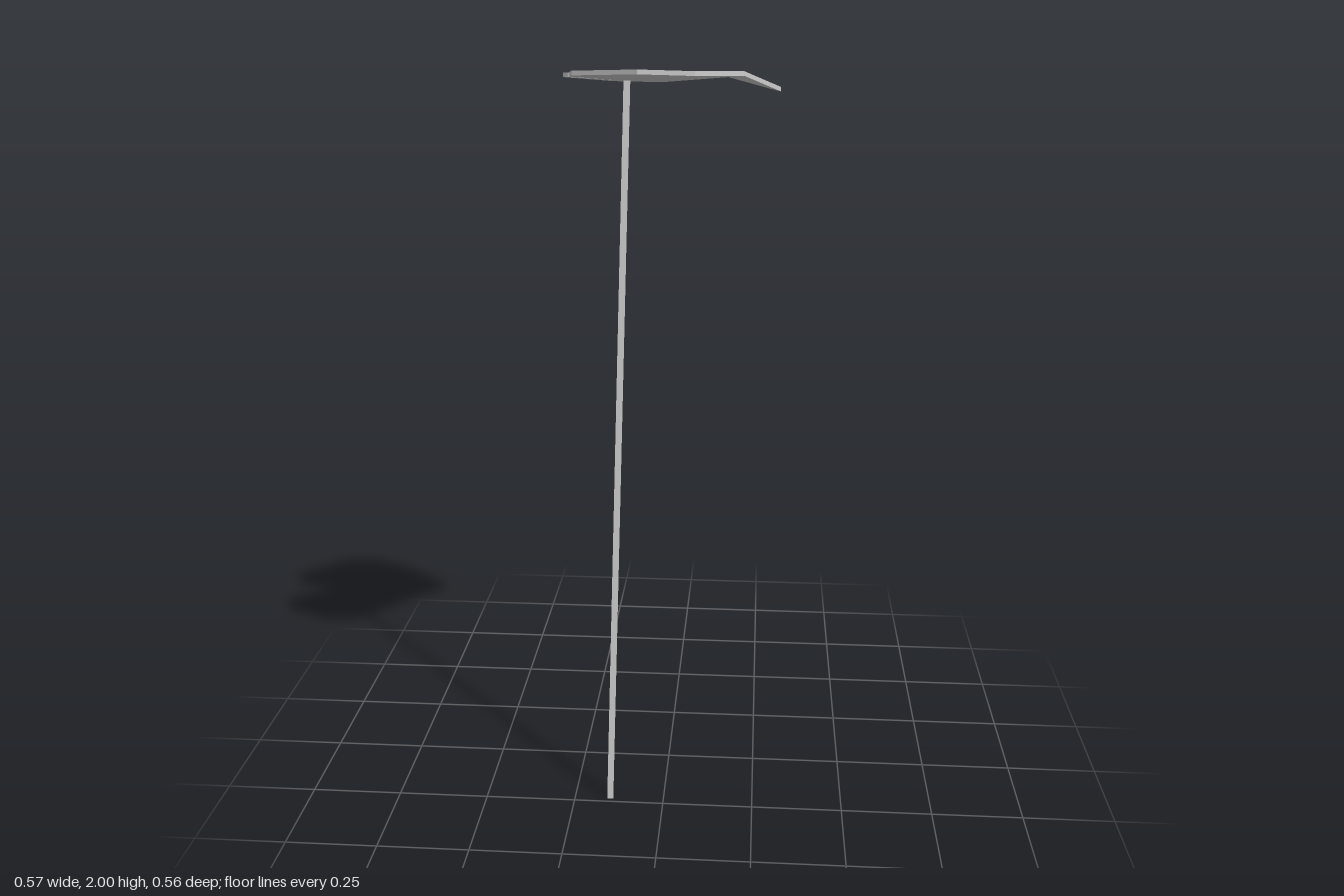
import * as THREE from 'three';

const material = () => new THREE.MeshStandardMaterial({ color: 0xcccccc, flatShading: true });

// Leaf rim, [x, y, z] of the upper surface, clockwise seen from above; index 10 is the notch
const rim = [
  [-0.17, 1.947, -0.253], [-0.036, 1.943, -0.282], [0.125, 1.968, -0.197],
  [0.275, 1.937, -0.085], [0.283, 1.938, -0.053], [0.192, 1.986, 0.103],
  [0.079, 1.995, 0.251], [-0.055, 2.0, 0.279], [-0.22, 1.991, 0.19],
  [-0.237, 1.983, 0.115], [-0.112, 1.967, 0.015], [-0.263, 1.972, -0.035],
  [-0.284, 1.967, -0.105],
];

// Flat panels between the fold lines, each fanned from its first corner
const panels = [[2, 3, 4, 5], [1, 2, 5, 6], [10, 0, 1, 6, 7], [10, 11, 12, 0], [10, 7, 8, 9]];

function leafGeometry(thickness) {
  const n = rim.length;
  const positions = [...rim, ...rim.map(([x, y, z]) => [x, y - thickness, z])].flat();
  const index = [];
  for (const p of panels) {
    for (let i = 1; i < p.length - 1; i++) {
      index.push(p[0], p[i + 1], p[i]); // upper side
      index.push(p[0] + n, p[i] + n, p[i + 1] + n); // underside
    }
  }
  // Thin edge around the rim
  for (let i = 0; i < n; i++) {
    const j = (i + 1) % n;
    index.push(i, j, j + n, i, j + n, i + n);
  }
  const geo = new THREE.BufferGeometry();
  geo.setAttribute('position', new THREE.Float32BufferAttribute(positions, 3));
  geo.setIndex(index);
  const flat = geo.toNonIndexed();
  flat.computeVertexNormals();
  return flat;
}

// Three-sided stalk with a flat face to the front, slanted so its ends stay level
function stemGeometry(bottom, top, radius) {
  const height = top.y - bottom.y;
  const geo = new THREE.CylinderGeometry(radius, radius, height, 3, 1, false, Math.PI);
  geo.translate(0, height / 2, 0);
  const pos = geo.attributes.position;
  for (let i = 0; i < pos.count; i++) {
    const t = pos.getY(i) / height;
    pos.setX(i, pos.getX(i) + THREE.MathUtils.lerp(bottom.x, top.x, t));
    pos.setZ(i, pos.getZ(i) + THREE.MathUtils.lerp(bottom.z, top.z, t));
  }
  geo.computeVertexNormals();
  return geo;
}

export function createModel() {
  const model = new THREE.Group();
  model.name = 'lilyPad';

  const leaf = new THREE.Mesh(leafGeometry(0.011), material());
  leaf.name = 'leaf';

  const stem = new THREE.Mesh(
    stemGeometry(new THREE.Vector3(-0.15, 0, 0.231), new THREE.Vector3(-0.104, 1.962, 0.018), 0.01),
    material(),
  );
  stem.name = 'stem';

  model.add(leaf, stem);
  return model;
}
